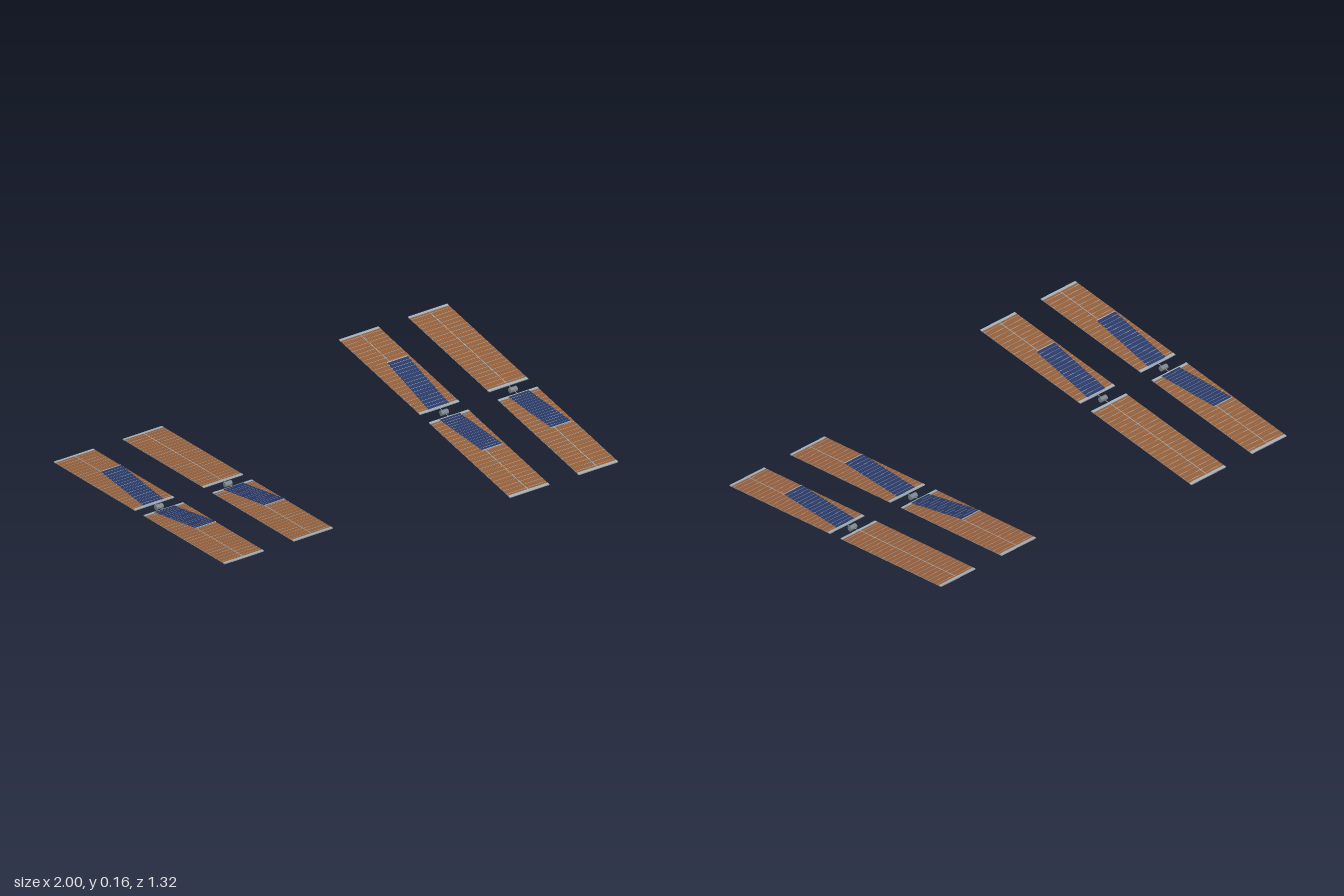
import * as THREE from 'three';

const paint = (name, color) => {
  const m = new THREE.MeshStandardMaterial({ color });
  m.name = name;
  return m;
};

export function createModel() {
  const copper = paint('copper cells', 0x96603c);
  const blue = paint('blue cells', 0x2a3a68);
  const backing = paint('grey backing', 0x94999d);
  const silver = paint('silver trim', 0xa4b0b8);
  const hubGrey = paint('hub grey', 0x7c868e);

  const IN = 0.034, OUT = 0.665, WIDTH = 0.2;

  const add = (parent, name, geometry, mat, x, y, z) => {
    const m = new THREE.Mesh(geometry, mat);
    m.name = name;
    m.position.set(x, y, z);
    parent.add(m);
    return m;
  };
  const box = (parent, name, mat, w, h, d, x, y, z) =>
    add(parent, name, new THREE.BoxGeometry(w, h, d), mat, x, y, z);

  // Upward sheet of n cells along z, with silver seams between them
  const cellSheet = (parent, name, cells, w, len, n, seam, x, y, z) => {
    const rows = 2 * n - 1;
    const geo = new THREE.PlaneGeometry(w, len, 1, rows).rotateX(-Math.PI / 2);
    const pos = geo.attributes.position;
    for (let r = 1; r < rows; r++) {
      const k = Math.ceil(r / 2);
      const edge = -len / 2 + len * k / n + (r % 2 ? -seam : seam) / 2;
      pos.setZ(2 * r, edge);
      pos.setZ(2 * r + 1, edge);
    }
    for (let r = 0; r < rows; r++) geo.addGroup(r * 6, 6, r % 2);
    add(parent, name, geo, [cells, silver], x, y, z);
  };

  // Small overlay panel, hinged at its inner end and lifted off the wing
  const overlayPanel = () => {
    const g = new THREE.Group();
    g.name = 'overlayPanel';
    const len = 0.335, w = 0.104;
    cellSheet(g, 'overlayCells', blue, w, len, 16, 0.0015, 0, 0.0004, len / 2);
    const back = new THREE.PlaneGeometry(w, len).rotateX(Math.PI / 2);
    add(g, 'overlayBacking', back, backing, 0, -0.0004, len / 2);
    for (const z of [0.002, len - 0.002]) box(g, 'overlayEndBar', silver, w, 0.002, 0.004, 0, 0, z);
    g.position.set(0, 0.004, 0.039);
    g.rotation.x = -THREE.MathUtils.degToRad(7.4);
    return g;
  };

  // One wing running outwards along +z
  const wing = (hasOverlay) => {
    const g = new THREE.Group();
    g.name = 'wing';
    const len = OUT - IN, mid = (IN + OUT) / 2, half = WIDTH / 2;
    const w = half - 0.0015;
    for (const s of [-1, 1]) {
      const x = s * (half + 0.0015) / 2;
      box(g, 'blanketBacking', backing, w, 0.0028, len, x, 0, mid);
      cellSheet(g, 'blanketCells', copper, w, len, 24, 0.0018, x, 0.0018, mid);
    }
    // End beams
    for (const z of [IN + 0.007, OUT - 0.007]) {
      box(g, 'endBeam', silver, WIDTH, 0.0046, 0.014, 0, 0, z);
    }
    // Mast filling the gap between the blankets and reaching the hub
    box(g, 'mast', silver, 0.003, 0.0042, len, 0, 0, mid);
    box(g, 'mastRoot', silver, 0.002, 0.002, IN, 0, 0, IN / 2);
    if (hasOverlay) g.add(overlayPanel());
    return g;
  };

  const model = new THREE.Group();
  model.name = 'solarArrays';

  // x position, tilt in degrees, overlay on the front wing, overlay on the rear wing
  const arrays = [
    [-0.9, 6.15, true, true],
    [-0.55, 6.15, true, false],
    [0.55, -5.7, true, true],
    [0.9, -5.7, true, false],
  ];
  for (const [x, tilt, front, rear] of arrays) {
    const g = new THREE.Group();
    g.name = 'arrayPair';
    g.position.set(x, 0.0745, 0);
    g.rotation.x = -THREE.MathUtils.degToRad(tilt);
    const rearWing = wing(rear);
    rearWing.rotation.y = Math.PI;
    g.add(wing(front), rearWing);
    // Hub between the two wings
    const hub = add(g, 'hub', new THREE.CylinderGeometry(0.012, 0.012, 0.035, 16), hubGrey, 0, 0, 0);
    hub.rotation.z = Math.PI / 2;
    model.add(g);
  }
  return model;
}
